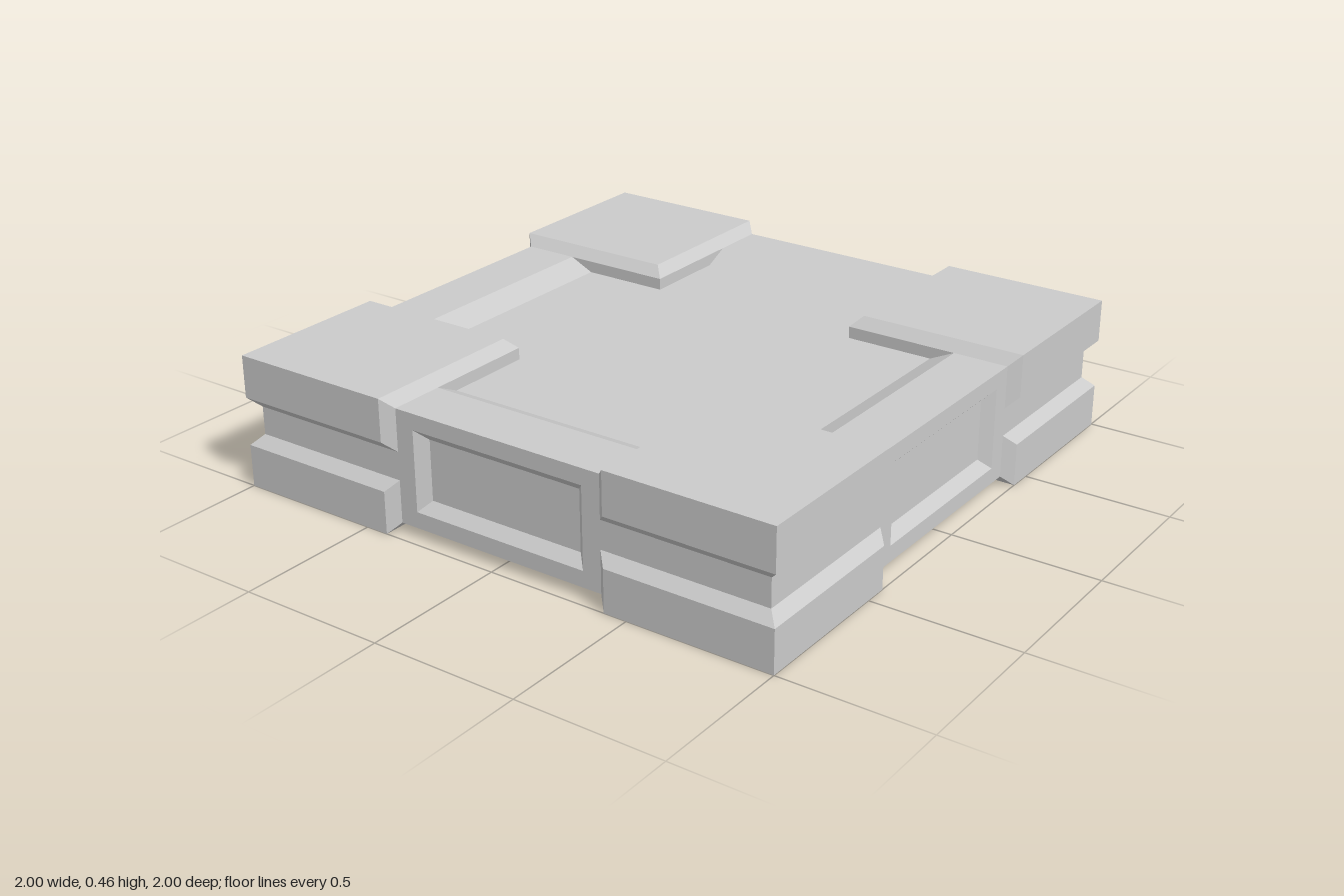
import * as THREE from 'three';
import { ConvexGeometry } from 'three/addons/geometries/ConvexGeometry.js';

const MID = 0.2275;  // half of the total height
const CORE = 0.965;  // half width of the core slab
const BEVEL = 0.035;

// Panel facing +z made of nested rectangles [halfWidth, halfHeight, z], closed by the last one
function steppedPanel(rings) {
  const corners = rings.map(([w, h, z]) => [[-w, -h, z], [w, -h, z], [w, h, z], [-w, h, z]]);
  const pos = [];
  const quad = (a, b, c, d) => pos.push(...a, ...b, ...c, ...a, ...c, ...d);
  for (let r = 0; r < rings.length - 1; r++) {
    for (let i = 0; i < 4; i++) {
      const j = (i + 1) % 4;
      quad(corners[r][i], corners[r][j], corners[r + 1][j], corners[r + 1][i]);
    }
  }
  quad(...corners[rings.length - 1]);
  const geo = new THREE.BufferGeometry();
  geo.setAttribute('position', new THREE.Float32BufferAttribute(pos, 3));
  geo.computeVertexNormals();
  return geo;
}

// Bevelled half of a corner block; sx, sy, sz choose the corner and upper or lower half
function cornerSlab(sx, sy, sz) {
  const inner = 0.42, base = inner - BEVEL;
  const top = MID, topBase = top - BEVEL;
  const groove = 0.083, grooveBase = groove - BEVEL;
  const points = [];
  const add = (x, y, z) => points.push(new THREE.Vector3(sx * x, sy * y, sz * z));
  for (const [x, xb] of [[inner, base], [1, CORE]]) {
    for (const [z, zb] of [[inner, base], [1, CORE]]) {
      add(x, top, z);                              // outer plate corner
      add(xb, grooveBase, zb);                     // foot inside the core
      if (x === 1 || z === 1) add(x, groove, z);   // lip above the groove
      if (x !== 1 || z !== 1) add(xb, topBase, zb); // foot of the top bevel
    }
  }
  return new ConvexGeometry(points);
}

export function createModel() {
  const model = new THREE.Group();
  const material = new THREE.MeshStandardMaterial({ color: 0xcccccc, flatShading: true });
  const body = new THREE.Group();
  body.position.y = MID;
  model.add(body);

  const part = (name, geo, parent) => {
    const mesh = new THREE.Mesh(geo, material);
    mesh.name = name;
    parent.add(mesh);
    return mesh;
  };

  // Core slab: four sides with framed recesses, top and bottom with shallow trays
  const core = new THREE.Group();
  core.name = 'coreSlab';
  body.add(core);
  const h = MID - BEVEL;
  const side = steppedPanel([
    [CORE, h, CORE], [0.32, 0.1375, CORE], [0.285, 0.1025, CORE - BEVEL],
  ]);
  ['frontPanel', 'leftPanel', 'backPanel', 'rightPanel'].forEach((name, i) => {
    part(name, side, core).rotation.y = i * Math.PI / 2;
  });
  const tray = steppedPanel([
    [CORE, CORE, h], [0.775, 0.775, h], [0.69, 0.69, h - 0.04],
  ]);
  part('topTray', tray, core).rotation.x = -Math.PI / 2;
  part('bottomTray', tray, core).rotation.x = Math.PI / 2;

  // Four corner blocks, each split by a groove into an upper and a lower half
  for (const sx of [-1, 1]) {
    for (const sz of [-1, 1]) {
      const block = new THREE.Group();
      block.name = (sz > 0 ? 'front' : 'back') + (sx > 0 ? 'Left' : 'Right') + 'Corner';
      body.add(block);
      part('upperHalf', cornerSlab(sx, 1, sz), block);
      part('lowerHalf', cornerSlab(sx, -1, sz), block);
    }
  }
  return model;
}
